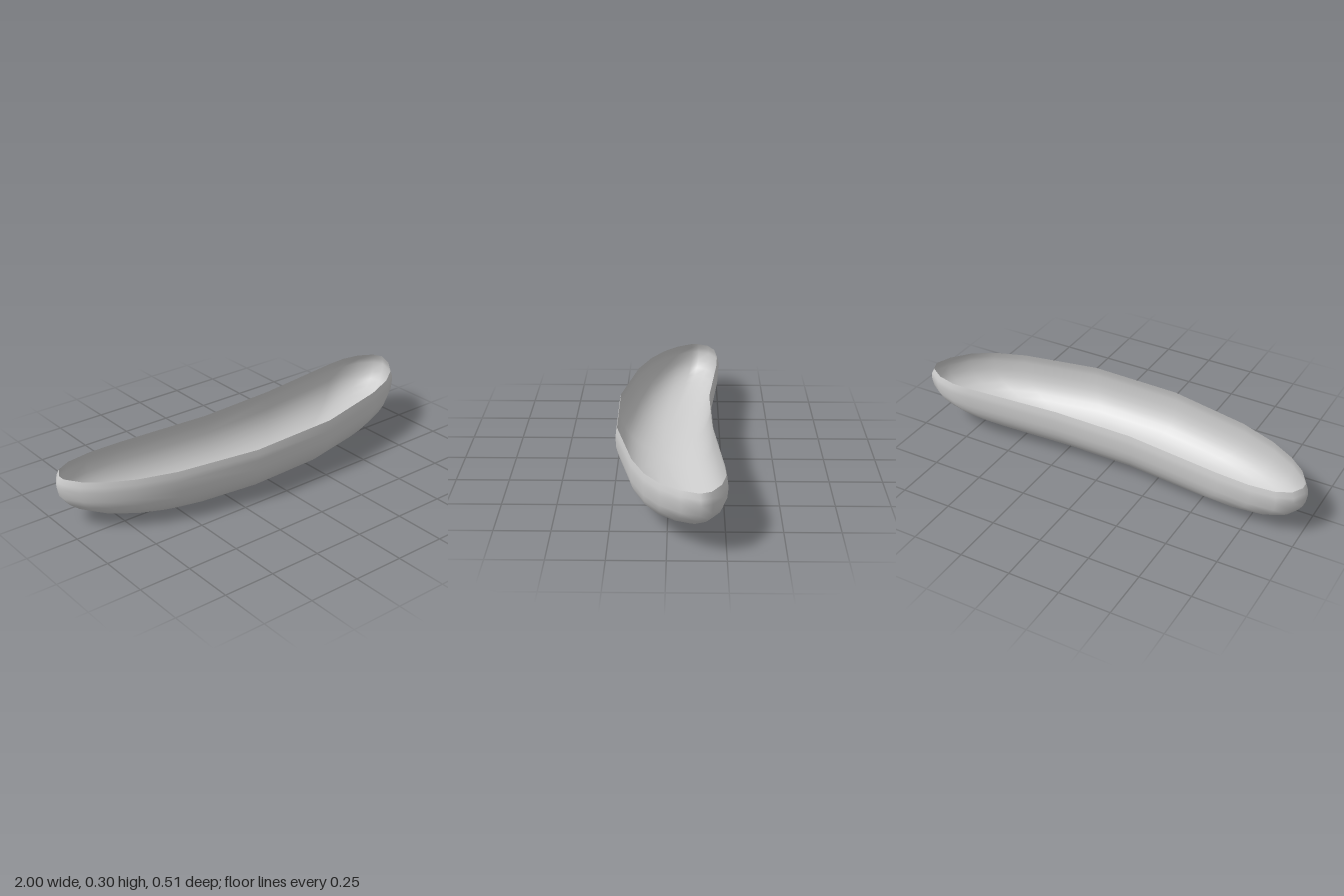
import * as THREE from 'three';

// Widest plan outline of the dish, [x, z], from its left tip round the front
const OUTLINE = [
  [1, -0.14], [0.97, -0.06], [0.9, 0.03], [0.8, 0.1], [0.65, 0.16], [0.28, 0.245],
  [-0.17, 0.25], [-0.57, 0.175], [-0.75, 0.11], [-0.87, 0.04], [-0.95, -0.03], [-1, -0.11],
  [-1, -0.15], [-0.97, -0.205], [-0.9, -0.24], [-0.78, -0.254], [-0.62, -0.247],
  [-0.15, -0.2], [0.25, -0.208], [0.72, -0.254], [0.82, -0.256], [0.91, -0.235], [0.98, -0.19],
];
const LAYERS = 10;
const LIP = 0.05;    // height of the inward-curling lip
const BELLY = 0.22;  // depth of the rounded bowl below the lip

const spine = (x) => 0.025 - 0.165 * x * x;   // curved centre line in plan
const rimHeight = (x) => 0.274 + 0.025 * x;   // rim tilts up towards +x

// Horizontal rings: the narrowed rim first, then the bowl closing to its base
function makeRings() {
  const rings = [{ kx: 0.985, kz: 0.965, depth: 0 }, { kx: 0.996, kz: 0.99, depth: LIP / 2 }];
  for (let i = 0; i < LAYERS; i++) {
    const a = (i / LAYERS) * Math.PI / 2;
    rings.push({
      kx: Math.cos(a) ** 0.65,
      kz: Math.cos(a) ** 0.95,
      depth: LIP + BELLY * Math.sin(a) ** 0.82,
    });
  }
  return rings;
}

function bowlGeometry() {
  const rings = makeRings();
  const n = OUTLINE.length;
  const positions = [];
  const index = [];
  for (const { kx, kz, depth } of rings) {
    for (const [x, z] of OUTLINE) {
      const px = x * kx;
      positions.push(px, rimHeight(px) - depth, spine(px) + (z - spine(x)) * kz);
    }
  }
  positions.push(0, rimHeight(0) - LIP - BELLY, spine(0));
  const pole = rings.length * n;
  for (let r = 0; r < rings.length; r++) {
    for (let i = 0; i < n; i++) {
      const a = r * n + i;
      const b = r * n + (i + 1) % n;
      if (r === rings.length - 1) index.push(a, b, pole);
      else index.push(a, b, a + n, b, b + n, a + n);
    }
  }
  const geometry = new THREE.BufferGeometry();
  geometry.setAttribute('position', new THREE.Float32BufferAttribute(positions, 3));
  geometry.setIndex(index);
  geometry.computeVertexNormals();
  // Rest the lowest point on the ground
  geometry.computeBoundingBox();
  geometry.translate(0, -geometry.boundingBox.min.y, 0);
  return geometry;
}

export function createModel() {
  const group = new THREE.Group();
  group.name = 'curvedDish';
  // Thin open shell, seen from inside and outside
  const material = new THREE.MeshStandardMaterial({ color: 0xcccccc, side: THREE.DoubleSide });
  const bowl = new THREE.Mesh(bowlGeometry(), material);
  bowl.name = 'bowl';
  group.add(bowl);
  return group;
}
